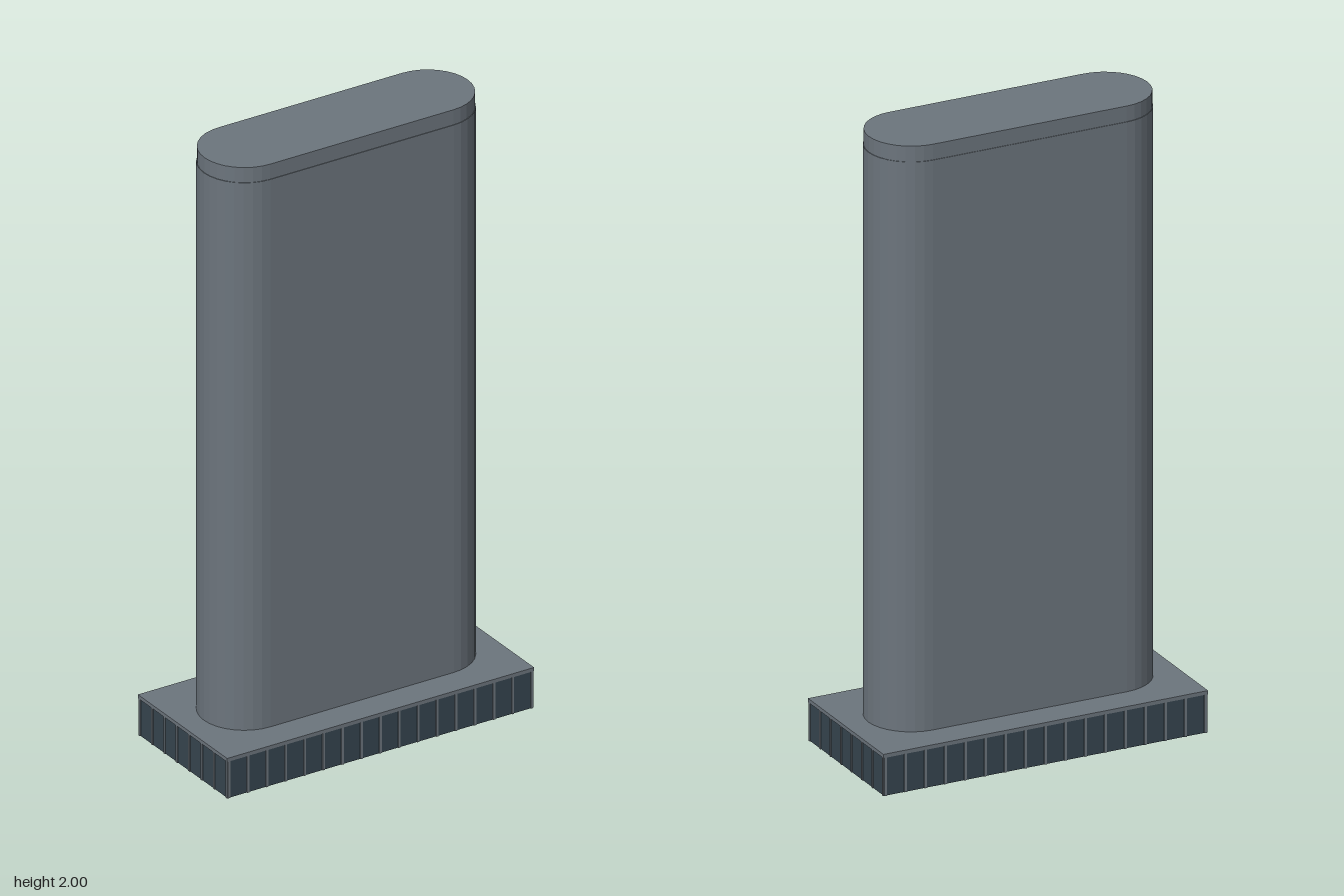
import * as THREE from 'three';

export function createModel() {
  const model = new THREE.Group();
  const grey = new THREE.MeshStandardMaterial({ color: 0x6c757d });
  grey.name = 'slate grey';
  const dark = new THREE.MeshStandardMaterial({ color: 0x36454f });
  dark.name = 'dark blue grey';

  const add = (name, geometry, material, parent = model) => {
    const mesh = new THREE.Mesh(geometry, material);
    mesh.name = name;
    parent.add(mesh);
    return mesh;
  };
  const box = (name, w, h, d, x, y, z, material, parent) =>
    add(name, new THREE.BoxGeometry(w, h, d), material, parent).position.set(x, y, z);

  // Upright slab with half-round ends
  const stadium = (name, halfLength, radius, y0, y1) => {
    const c = halfLength - radius;
    const shape = new THREE.Shape();
    shape.absarc(c, 0, radius, -Math.PI / 2, Math.PI / 2, false);
    shape.absarc(-c, 0, radius, Math.PI / 2, Math.PI * 1.5, false);
    const geometry = new THREE.ExtrudeGeometry(shape, { depth: y1 - y0, bevelEnabled: false, curveSegments: 8 });
    geometry.rotateX(-Math.PI / 2).translate(0, y0, 0);
    add(name, geometry, grey);
  };
  stadium('towerBody', 0.463, 0.142, 0.13, 1.95);
  stadium('roofBand', 0.461, 0.14, 1.95, 2);

  // Podium: thin deck over a hollow skirt
  const X = 0.534, Z = 0.24, H = 0.122, T = 0.006;
  box('podiumDeck', 1.075, 0.012, 0.486, 0, 0.128, 0, grey);
  const skirt = new THREE.Group();
  skirt.name = 'podiumSkirt';
  model.add(skirt);
  for (const s of [-1, 1]) {
    box('longWall', 2 * X, H, T, 0, H / 2, s * (Z - T / 2), dark, skirt);
    box('endWall', T, H, 2 * (Z - T), s * (X - T / 2), H / 2, 0, dark, skirt);
  }

  // Upright mullions around the skirt
  const mullions = new THREE.Group();
  mullions.name = 'mullions';
  model.add(mullions);
  const W = 0.008;
  for (const s of [-1, 1]) {
    for (let i = 0; i <= 16; i++) {
      const x = (i / 8 - 1) * (X - W / 2);
      box('longMullion', W, H, 0.006, x, H / 2, s * Z, grey, mullions);
    }
    for (let i = 0; i <= 7; i++) {
      const z = (i / 3.5 - 1) * (Z - W / 2);
      box('endMullion', 0.012, H, W, s * (X - 0.003), H / 2, z, grey, mullions);
    }
  }
  return model;
}
